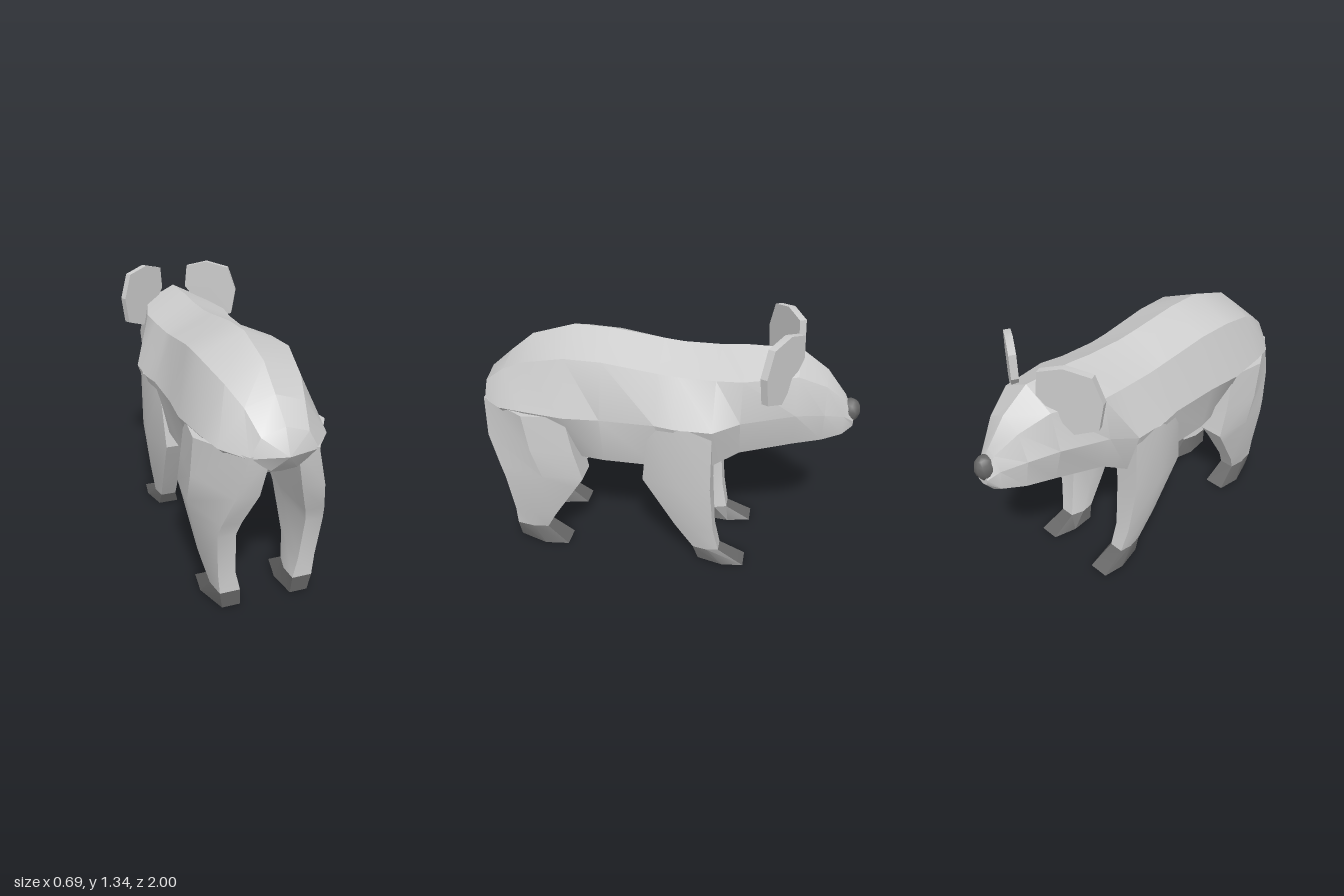
import * as THREE from 'three';
import { toCreasedNormals } from 'three/addons/utils/BufferGeometryUtils.js';

const fur = new THREE.MeshStandardMaterial({ color: 0xcccccc });
const dark = new THREE.MeshStandardMaterial({ color: 0x666666 });

// Skin a list of equal-sized rings, closing both ends with a fan to a tip point
function loft(rings, startTip, endTip, crease = 0.5) {
  const n = rings[0].length;
  const tris = [];
  for (let r = 0; r < rings.length - 1; r++) {
    for (let i = 0; i < n; i++) {
      const j = (i + 1) % n;
      const [a, b, c, d] = [rings[r][i], rings[r][j], rings[r + 1][j], rings[r + 1][i]];
      tris.push([a, b, c], [a, c, d]);
    }
  }
  const centre = (ring) => ring.reduce((s, p) => s.add(p), new THREE.Vector3()).divideScalar(n);
  const first = rings[0], last = rings[rings.length - 1];
  const t0 = startTip || centre(first), t1 = endTip || centre(last);
  for (let i = 0; i < n; i++) {
    const j = (i + 1) % n;
    tris.push([first[j], first[i], t0], [last[i], last[j], t1]);
  }
  // Signed volume decides the winding, so mirrored parts also face outwards
  const cross = new THREE.Vector3();
  const volume = tris.reduce((s, [a, b, c]) => s + a.dot(cross.crossVectors(b, c)), 0);
  const pts = tris.flatMap(([a, b, c]) => (volume > 0 ? [a, b, c] : [a, c, b]));
  return toCreasedNormals(new THREE.BufferGeometry().setFromPoints(pts), crease);
}

function add(parent, name, geometry, material) {
  const mesh = new THREE.Mesh(geometry, material);
  mesh.name = name;
  parent.add(mesh);
  return mesh;
}

// Body section: z, spine y, ridge x/y, flank x/y, lower flank x/y, belly y
const bodySections = [
  [0.945, 0.965, 0.11, 0.93, 0.16, 0.84, 0.06, 0.77, 0.79],
  [0.83, 1.065, 0.14, 1.02, 0.255, 0.85, 0.09, 0.70, 0.72],
  [0.70, 1.17, 0.18, 1.085, 0.29, 0.86, 0.11, 0.62, 0.64],
  [0.47, 1.24, 0.225, 1.145, 0.32, 0.86, 0.20, 0.57, 0.50],
  [0.28, 1.235, 0.22, 1.14, 0.305, 0.86, 0.25, 0.59, 0.48],
  [0.00, 1.20, 0.21, 1.10, 0.305, 0.86, 0.25, 0.59, 0.51],
  [-0.10, 1.19, 0.21, 1.09, 0.325, 0.86, 0.25, 0.60, 0.52],
  [-0.29, 1.19, 0.215, 1.09, 0.325, 0.86, 0.24, 0.62, 0.54],
  [-0.42, 1.20, 0.225, 1.10, 0.26, 0.89, 0.20, 0.69, 0.60],
  [-0.68, 1.20, 0.16, 1.12, 0.21, 0.935, 0.16, 0.75, 0.67],
  [-0.82, 1.10, 0.10, 1.05, 0.15, 0.92, 0.12, 0.765, 0.70],
  [-0.92, 0.97, 0.04, 0.95, 0.075, 0.88, 0.07, 0.78, 0.735],
  [-0.97, 0.86, 0.03, 0.85, 0.04, 0.84, 0.03, 0.81, 0.80],
];

function bodyRing([z, top, rx, ry, sx, sy, lx, ly, bottom]) {
  return [
    [0, top], [rx, ry], [sx, sy], [lx, ly],
    [0, bottom], [-lx, ly], [-sx, sy], [-rx, ry],
  ].map(([x, y]) => new THREE.Vector3(x, y, z));
}

// Leg section: y, heel-side z, toe-side z, outer x, inner x, heel inner x, heel outer x
const hindLeg = [
  [0.85, 0.95, 0.47, 0.32, 0.05, 0.06, 0.16],
  [0.65, 0.93, 0.43, 0.325, 0.10, 0.10, 0.21],
  [0.49, 0.865, 0.385, 0.325, 0.14, 0.155, 0.25],
  [0.42, 0.84, 0.43, 0.312, 0.155, 0.17, 0.26],
  [0.20, 0.81, 0.57, 0.28, 0.155, 0.16, 0.245],
  [0.09, 0.81, 0.63, 0.25, 0.13, 0.135, 0.235],
];
const hindFoot = [hindLeg[5], [0, 0.80, 0.51, 0.275, 0.11, 0.13, 0.22]];
const foreLeg = [
  [0.86, 0.03, -0.29, 0.33, 0.10, 0.12, 0.29],
  [0.51, 0.07, -0.29, 0.325, 0.13, 0.17, 0.27],
  [0.22, -0.10, -0.31, 0.28, 0.15, 0.16, 0.25],
  [0.07, -0.20, -0.34, 0.25, 0.14, 0.15, 0.235],
];
const foreFoot = [foreLeg[3], [0, -0.23, -0.48, 0.275, 0.12, 0.13, 0.24]];

function legGeometry(sections, side) {
  const lerp = THREE.MathUtils.lerp;
  const rings = sections.map(([y, zb, zf, xo, xi, bi, bo]) => [
    [bi, zb], [bo, zb], [xo, lerp(zb, zf, 0.55)],
    [lerp(xo, xi, 0.1), zf], [lerp(xo, xi, 0.8), zf], [xi, lerp(zb, zf, 0.5)],
  ].map(([x, z]) => new THREE.Vector3(side * x, y, z)));
  return loft(rings);
}

// Ear outline as x, y; each ear is a thin plate slanting back towards its outer edge
const earOutline = [
  [0.08, 1.19], [0.09, 1.31], [0.19, 1.34], [0.30, 1.31],
  [0.34, 1.18], [0.32, 1.04], [0.22, 1.0], [0.13, 1.12],
];

function earGeometry(side) {
  const plate = (offset) => earOutline.map(([x, y]) => new THREE.Vector3(
    side * (x - offset * 0.5), y, -0.685 + (x - 0.08) * 0.62 + offset));
  return loft([plate(-0.012), plate(0.02)]);
}

export function createModel() {
  const model = new THREE.Group();
  model.name = 'bear';

  const rump = new THREE.Vector3(0, 0.85, 1);
  add(model, 'body', loft(bodySections.map(bodyRing), rump), fur);

  // Rounded nose on the muzzle tip
  const nose = add(model, 'nose', new THREE.SphereGeometry(1, 10, 7), dark);
  nose.scale.set(0.05, 0.07, 0.058);
  nose.position.set(0, 0.88, -0.942);
  nose.rotation.x = -0.3;

  for (const side of [1, -1]) {
    const label = side > 0 ? 'left' : 'right';
    add(model, label + 'HindLeg', legGeometry(hindLeg, side), fur);
    add(model, label + 'HindFoot', legGeometry(hindFoot, side), dark);
    add(model, label + 'ForeLeg', legGeometry(foreLeg, side), fur);
    add(model, label + 'ForeFoot', legGeometry(foreFoot, side), dark);
    add(model, label + 'Ear', earGeometry(side), fur);
  }
  return model;
}
